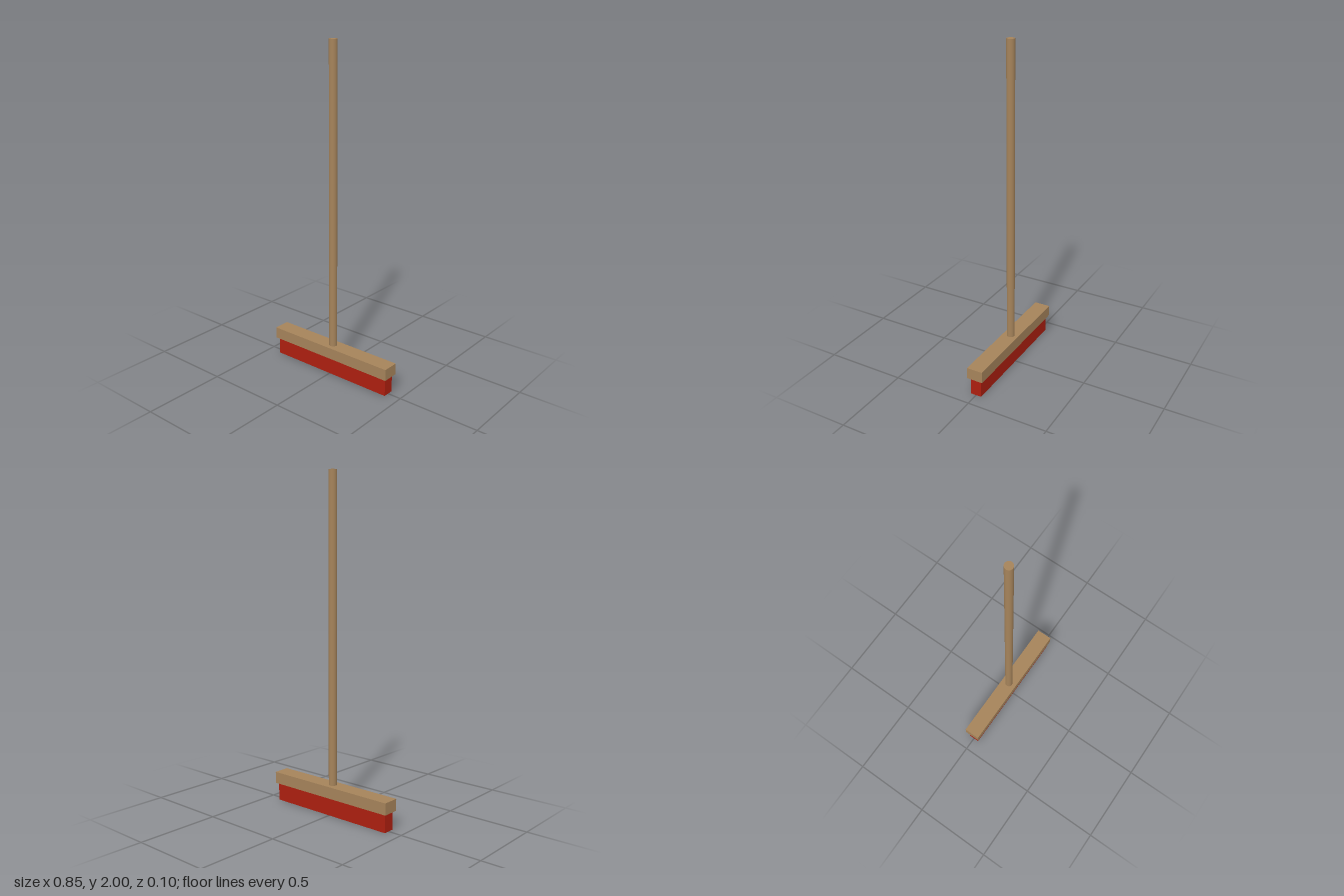
import * as THREE from 'three';

export function createModel() {
  const model = new THREE.Group();
  model.name = 'broom';

  const wood = new THREE.MeshStandardMaterial({ color: 0xa5835a });
  wood.name = 'wood';
  const red = new THREE.MeshStandardMaterial({ color: 0xad1f0f });
  red.name = 'red bristle';

  const add = (name, geometry, material, y) => {
    const mesh = new THREE.Mesh(geometry, material);
    mesh.name = name;
    mesh.position.y = y;
    model.add(mesh);
  };

  const bristleTop = 0.11, headTop = 0.18, top = 2;

  // Solid block of bristles standing on the floor
  add('bristles', new THREE.BoxGeometry(0.828, bristleTop, 0.068), red, bristleTop / 2);

  // Wooden head overhanging the bristles
  add('head', new THREE.BoxGeometry(0.854, headTop - bristleTop, 0.1), wood, (bristleTop + headTop) / 2);

  // Long round handle, sunk slightly into the head
  const base = headTop - 0.02;
  add('handle', new THREE.CylinderGeometry(0.024, 0.024, top - base, 24), wood, (base + top) / 2);

  return model;
}
